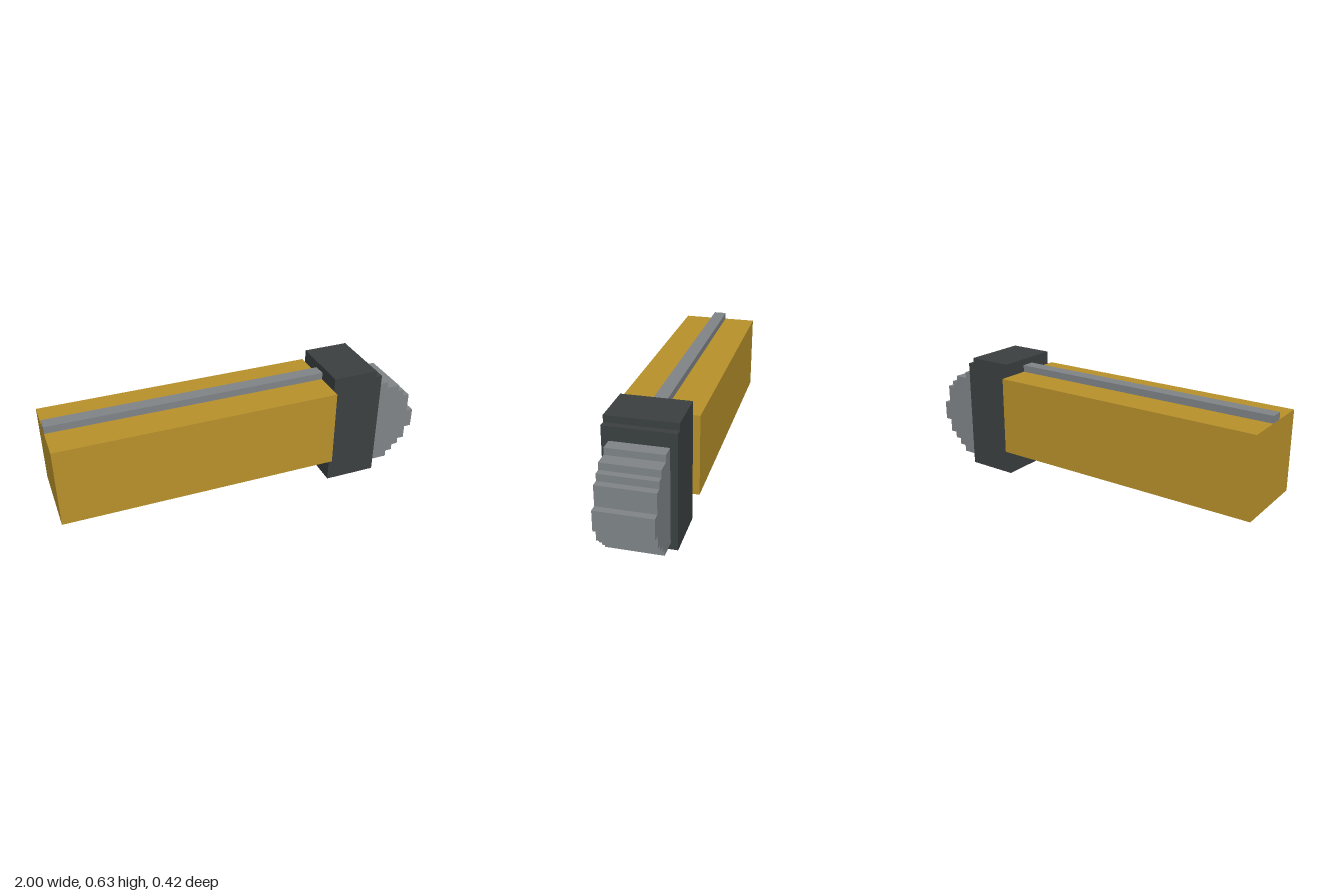
import * as THREE from 'three';

export function createModel() {
  const model = new THREE.Group();
  const material = (name, color) => {
    const m = new THREE.MeshStandardMaterial({ color });
    m.name = name;
    return m;
  };
  const gold = material('gold', 0xb9922b);
  const dark = material('dark grey', 0x3b4040);
  const steel = material('steel grey', 0x808588);

  const add = (name, geometry, mat) => {
    const mesh = new THREE.Mesh(geometry, mat);
    mesh.name = name;
    model.add(mesh);
  };
  // Box from x and y ranges, centred on z
  const box = (x0, x1, y0, y1, depth) =>
    new THREE.BoxGeometry(x1 - x0, y1 - y0, depth)
      .translate((x0 + x1) / 2, (y0 + y1) / 2, 0);
  // Side profile in x and y, extruded and centred on z
  const extrude = (points, depth) =>
    new THREE.ExtrudeGeometry(
      new THREE.Shape(points.map(([x, y]) => new THREE.Vector2(x, y))),
      { depth, bevelEnabled: false }
    ).translate(0, 0, -depth / 2);

  // Long square body with a narrow rail on top
  add('body', box(-1, 0.472, 0.141, 0.563, 0.422), gold);
  add('topRail', box(-1, 0.472, 0.563, 0.6, 0.07), steel);

  // Collar with a small step on its upper front edge
  add('collar', extrude([
    [0.472, 0], [0.752, 0], [0.752, 0.599], [0.717, 0.599],
    [0.717, 0.634], [0.472, 0.634],
  ], 0.352), dark);

  // Stepped nose: each step is [x reach, y where the step ends]
  const steps = [
    [0.857, 0.072], [0.893, 0.107], [0.927, 0.141], [0.963, 0.213], [1, 0.317],
    [0.963, 0.421], [0.927, 0.457], [0.893, 0.493], [0.82, 0.528],
  ];
  const profile = [[0.752, 0.036]];
  let y = 0.036;
  for (const [x, yEnd] of steps) {
    profile.push([x, y], [x, yEnd]);
    y = yEnd;
  }
  profile.push([0.752, y]);
  add('steppedNose', extrude(profile, 0.282), steel);

  return model;
}
